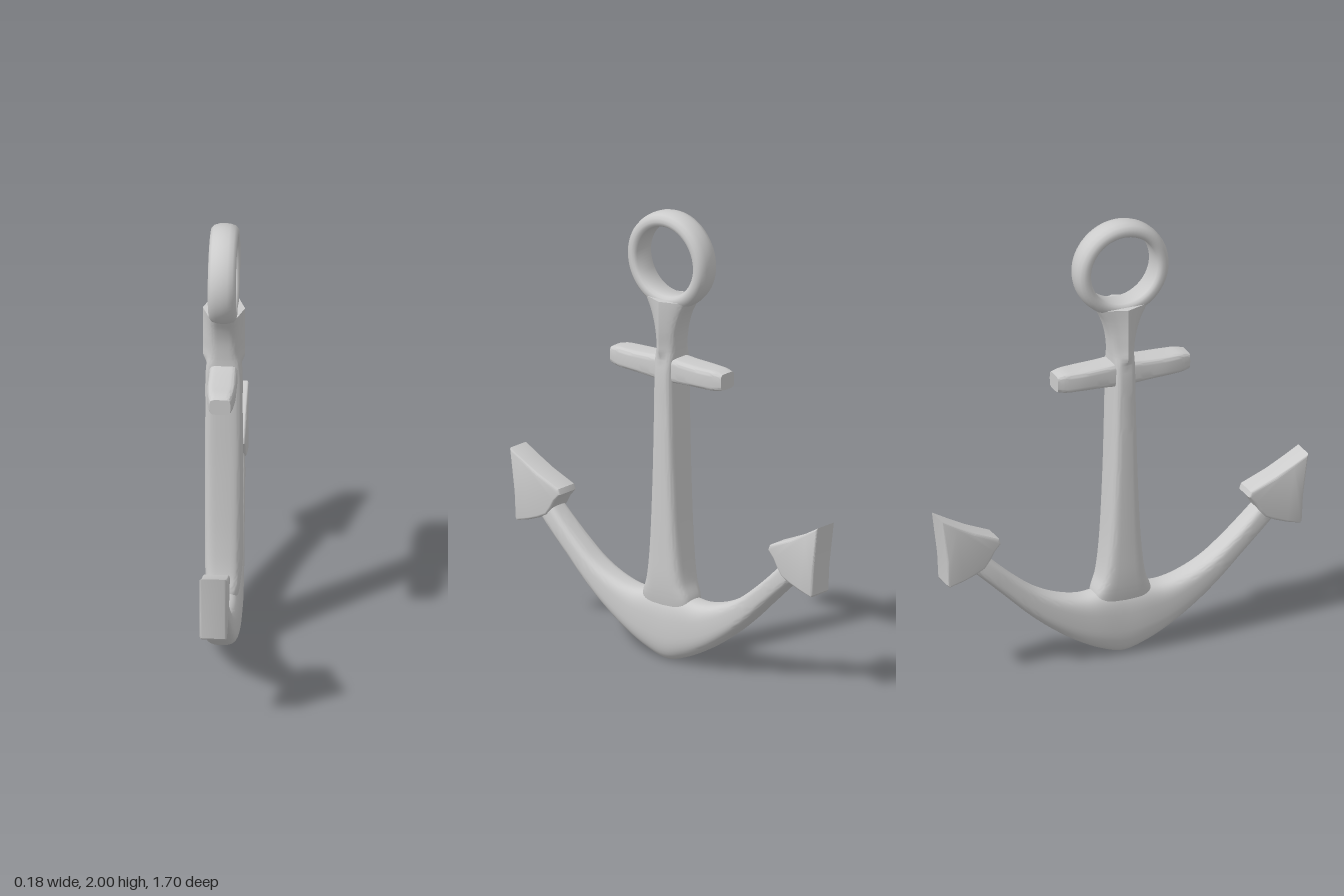
import * as THREE from 'three';
import { toCreasedNormals } from 'three/addons/utils/BufferGeometryUtils.js';

const material = new THREE.MeshStandardMaterial({ color: 0xcccccc });
const V = (x, y, z) => new THREE.Vector3(x, y, z);
const spow = (c, p) => Math.sign(c) * Math.pow(Math.abs(c), p);

// Rounded-box loft between two edge curves; the x of each edge point is the half thickness.
// squareness(s) is the superellipse exponent, ridge(y) adds a pinched ridge on both sides.
function loft(edgeA, edgeB, squareness, ridge = () => 0, steps = 48, sides = 40) {
  const a = new THREE.CatmullRomCurve3(edgeA), b = new THREE.CatmullRomCurve3(edgeB);
  const pos = [], idx = [];
  for (let i = 0; i <= steps; i++) {
    const t = i / steps, A = a.getPoint(t), B = b.getPoint(t);
    const mid = A.clone().add(B).multiplyScalar(0.5);
    const half = B.clone().sub(A).multiplyScalar(0.5);
    const p = 2 / squareness(Math.abs(2 * t - 1));
    for (let j = 0; j < sides; j++) {
      const ang = (j / sides) * Math.PI * 2;
      const c = spow(Math.cos(ang), p), s = spow(Math.sin(ang), p);
      const bump = ridge(mid.y) * (1 - Math.abs(s)) ** 1.6 * Math.sign(c);
      pos.push(A.x * c + bump, mid.y + half.y * s, mid.z + half.z * s);
    }
  }
  for (let i = 0; i < steps; i++) {
    for (let j = 0; j < sides; j++) {
      const k = (j + 1) % sides, p = i * sides, q = p + sides;
      idx.push(p + j, q + j, p + k, p + k, q + j, q + k);
    }
  }
  // end caps
  const last = steps * sides, centre = pos.length / 3;
  for (const [e, m] of [[edgeA[0], edgeB[0]], [edgeA.at(-1), edgeB.at(-1)]]) {
    pos.push(0, (e.y + m.y) / 2, (e.z + m.z) / 2);
  }
  for (let j = 0; j < sides; j++) {
    const k = (j + 1) % sides;
    idx.push(centre, j, k, centre + 1, last + k, last + j);
  }
  const g = new THREE.BufferGeometry();
  g.setAttribute('position', new THREE.Float32BufferAttribute(pos, 3));
  g.setIndex(idx);
  return toCreasedNormals(g, 0.7);
}

// Repeats half a list of edge points on the -z side
const mirrorZ = (pts) => [...pts.slice(1).reverse().map((p) => V(p.x, p.y, -p.z)), ...pts];

export function createModel() {
  const group = new THREE.Group();
  const add = (name, geometry) => {
    const mesh = new THREE.Mesh(geometry, material);
    mesh.name = name;
    group.add(mesh);
    return mesh;
  };

  // Ring at the top, turned about the x axis
  const profile = [
    [0.155, -0.046], [0.164, -0.057], [0.176, -0.06], [0.192, -0.058], [0.206, -0.046],
    [0.213, -0.025], [0.215, 0], [0.213, 0.025], [0.206, 0.046], [0.192, 0.058],
    [0.176, 0.06], [0.164, 0.057], [0.155, 0.046], [0.155, -0.046],
  ].map(([r, h]) => new THREE.Vector2(r, h));
  const ring = new THREE.LatheGeometry(profile, 64);
  ring.rotateZ(Math.PI / 2);
  ring.translate(0, 1.783, 0);
  add('ring', toCreasedNormals(ring, 0.9));

  // Shank: half thickness, height, half width; flares to the ring with a ridged neck
  const shank = [
    [0.05, 0.18, 0.12], [0.07, 0.28, 0.128], [0.078, 0.36, 0.1], [0.08, 0.5, 0.08],
    [0.08, 0.8, 0.062], [0.079, 1.1, 0.053], [0.075, 1.34, 0.049], [0.06, 1.4, 0.05],
    [0.06, 1.48, 0.06], [0.06, 1.55, 0.083], [0.06, 1.615, 0.118],
  ];
  add('shank', loft(
    shank.map(([x, y, w]) => V(x, y, -w)),
    shank.map(([x, y, w]) => V(x, y, w)),
    () => 4,
    (y) => 0.03 * THREE.MathUtils.smoothstep(y, 1.34, 1.4), 80));

  // Stock: crossbar tapering toward its ends
  const stock = [
    [0.06, 0.057, 0], [0.06, 0.05, 0.1], [0.06, 0.046, 0.2], [0.052, 0.044, 0.27], [0.044, 0.036, 0.307],
  ];
  add('crossbar', loft(
    mirrorZ(stock.map(([x, h, z]) => V(x, 1.302 + h, z))),
    mirrorZ(stock.map(([x, h, z]) => V(x, 1.302 - h, z))),
    () => 5));

  // Curved arms in one sweep from fluke to fluke
  const upper = [
    [0.077, 0.3, 0], [0.077, 0.295, 0.09], [0.074, 0.285, 0.18], [0.07, 0.305, 0.28],
    [0.065, 0.355, 0.39], [0.06, 0.43, 0.49], [0.056, 0.51, 0.58], [0.05, 0.57, 0.64],
  ];
  const lower = [
    [0.077, 0.0, 0], [0.077, 0.028, 0.1], [0.074, 0.08, 0.205], [0.07, 0.16, 0.325],
    [0.065, 0.25, 0.435], [0.06, 0.355, 0.545], [0.056, 0.45, 0.645], [0.05, 0.51, 0.71],
  ];
  add('arms', loft(
    mirrorZ(upper.map((p) => V(...p))),
    mirrorZ(lower.map((p) => V(...p))),
    (s) => 2.7 + 1.1 * s, undefined, 72));

  // Arrow-shaped flukes
  const outline = [
    [0.852, 0.772], [0.78, 0.732], [0.7, 0.69], [0.585, 0.642], [0.576, 0.618], [0.605, 0.585],
    [0.624, 0.55], [0.65, 0.515], [0.695, 0.492], [0.75, 0.472], [0.814, 0.455], [0.822, 0.465],
    [0.828, 0.58],
  ].map(([z, y]) => new THREE.Vector2(z, y));
  const bevel = 0.01, depth = 0.096;
  const fluke = new THREE.ExtrudeGeometry(new THREE.Shape(outline), {
    depth, bevelEnabled: true, bevelSize: bevel, bevelOffset: -bevel, bevelThickness: 0.01, bevelSegments: 3,
  });
  fluke.translate(0, 0, -depth / 2);
  fluke.rotateY(-Math.PI / 2);
  const flukeGeometry = toCreasedNormals(fluke, 0.6);
  add('frontFluke', flukeGeometry);
  add('backFluke', flukeGeometry).rotation.y = Math.PI;

  return group;
}
